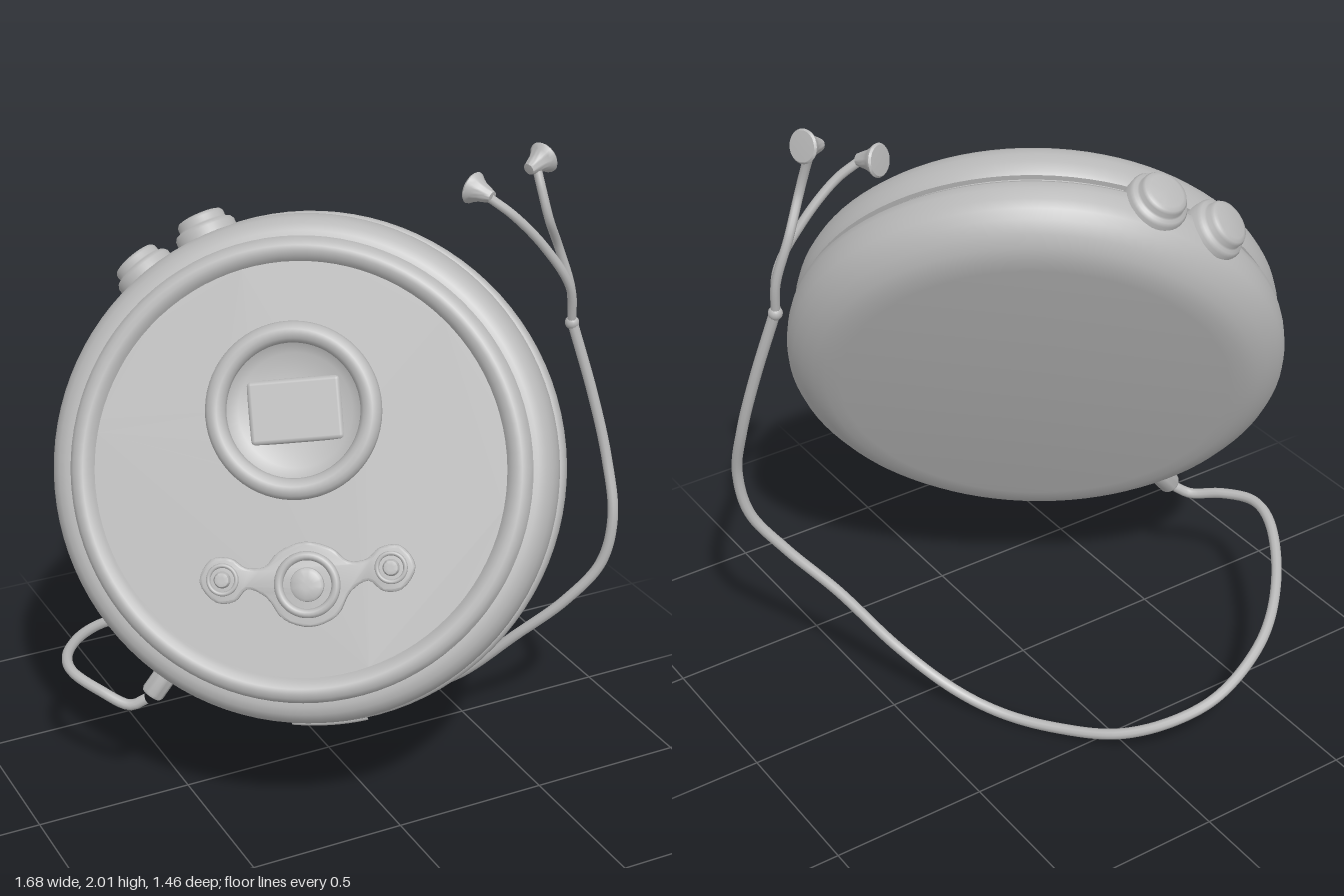
import * as THREE from 'three';
import { toCreasedNormals } from 'three/addons/utils/BufferGeometryUtils.js';
import { RoundedBoxGeometry } from 'three/addons/geometries/RoundedBoxGeometry.js';

const grey = new THREE.MeshStandardMaterial({ color: 0xb8b8b8 });

function add(parent, name, geometry, x = 0, y = 0, z = 0) {
  const mesh = new THREE.Mesh(geometry, grey);
  mesh.name = name;
  mesh.position.set(x, y, z);
  parent.add(mesh);
  return mesh;
}

// Turned shape around the local z axis, from [radius, height] pairs
function turned(profile, sides = 48) {
  const points = profile.map(([r, h]) => new THREE.Vector2(r, h));
  const g = new THREE.LatheGeometry(points, sides);
  g.rotateX(Math.PI / 2);
  return toCreasedNormals(g, 0.75);
}

function cable(points, radius, segments) {
  const curve = new THREE.CatmullRomCurve3(points.map((p) => new THREE.Vector3(...p)));
  return new THREE.TubeGeometry(curve, segments, radius, 10);
}

// Points the local z axis of a mesh along a direction
function aim(mesh, x, y, z) {
  mesh.quaternion.setFromUnitVectors(new THREE.Vector3(0, 0, 1), new THREE.Vector3(x, y, z).normalize());
}

function buildPlayer() {
  const player = new THREE.Group();
  player.name = 'player';

  // Round case: back shell, seam groove, lid shoulder and raised rim
  add(player, 'case', turned([
    [0, -0.38], [0.6, -0.38], [0.645, -0.376], [0.685, -0.362], [0.72, -0.338], [0.75, -0.308],
    [0.766, -0.28], [0.772, -0.25], [0.772, -0.21], [0.768, -0.185], [0.758, -0.173], [0.735, -0.17],
    [0.735, -0.15], [0.75, -0.146], [0.756, -0.13], [0.757, -0.1], [0.752, -0.068], [0.74, -0.04],
    [0.722, -0.02], [0.7, -0.01], [0.685, -0.008], [0.681, 0.006], [0.67, 0.02], [0.655, 0.028],
    [0.64, 0.028], [0.625, 0.02], [0.614, 0.007], [0.61, 0],
  ], 96));

  // Lid face with a round opening for the display
  const lid = new THREE.Shape().absarc(0, 0, 0.612, 0, Math.PI * 2);
  lid.holes.push(new THREE.Path().absarc(0, 0.175, 0.21, 0, Math.PI * 2, true));
  add(player, 'lidFace', new THREE.ShapeGeometry(lid, 48));

  // Display: raised ring, shallow bowl and cushion-shaped screen
  add(player, 'displayRing', new THREE.TorusGeometry(0.23, 0.032, 14, 64), 0, 0.175, 0.006);
  add(player, 'displayBowl', turned([[0.212, 0], [0.2, -0.015], [0.17, -0.03], [0.1, -0.04], [0, -0.042]]), 0, 0.175, 0);
  add(player, 'screen', new RoundedBoxGeometry(0.28, 0.19, 0.03, 4, 0.014), 0, 0.175, -0.04);

  // Control pad with a large centre and two smaller ends
  const half = [
    [0.08, -0.097], [0.125, -0.03], [0.18, -0.002], [0.22, -0.035], [0.275, -0.034], [0.32, 0.03],
    [0.28, 0.094], [0.22, 0.092], [0.18, 0.062], [0.125, 0.06], [0.08, 0.1],
  ];
  const outline = [[0, -0.125], ...half, [0, 0.125], ...half.map(([x, y]) => [-x, y]).reverse()];
  const padCurve = new THREE.CatmullRomCurve3(outline.map(([x, y]) => new THREE.Vector3(x, y, 0)), true);
  const padShape = new THREE.Shape(padCurve.getPoints(96).slice(0, -1).map((p) => new THREE.Vector2(p.x, p.y)));
  add(player, 'controlPad', toCreasedNormals(new THREE.ExtrudeGeometry(padShape, {
    depth: 0.008, bevelThickness: 0.008, bevelSize: 0.008, bevelOffset: -0.008, bevelSegments: 3,
  }), 0.6), 0, -0.335, 0);

  // Pad buttons, each a domed cap inside a ring
  for (const [x, y, r] of [[0, -0.335, 0.085], [-0.25, -0.303, 0.042], [0.25, -0.303, 0.042]]) {
    add(player, 'padButtonRing', new THREE.TorusGeometry(r, r * 0.16, 10, 40), x, y, 0.016);
    add(player, 'padButton', turned([
      [r * 0.6, 0], [r * 0.58, 0.01], [r * 0.48, 0.016], [r * 0.2, 0.018], [0, 0.018],
    ], 32), x, y, 0.014);
  }

  // Push buttons on the upper edge
  for (const angle of [2.187, 1.9]) {
    const c = Math.cos(angle), s = Math.sin(angle);
    const button = add(player, 'edgeButton', turned([
      [0.095, -0.05], [0.095, 0.025], [0.088, 0.036], [0.078, 0.039], [0.074, 0.044], [0.074, 0.06],
      [0.068, 0.069], [0.055, 0.073], [0, 0.074],
    ], 40), 0.755 * c, 0.755 * s, -0.19);
    aim(button, c, s, 0);
  }

  // Headphone plug on the lower edge
  const c = Math.cos(4.012), s = Math.sin(4.012);
  const plug = add(player, 'plug', turned([
    [0.036, -0.04], [0.036, 0.095], [0.031, 0.104], [0.02, 0.107], [0, 0.107],
  ], 24), 0.755 * c, 0.755 * s, -0.26);
  aim(plug, c, s, 0);

  // Slim latch on the bottom edge
  const latch = new THREE.TorusGeometry(0.768, 0.012, 8, 16, 0.3);
  latch.rotateZ(Math.PI * 1.5 - 0.15);
  add(player, 'latch', latch, 0, 0, -0.215);
  return player;
}

function buildHeadphones() {
  const phones = new THREE.Group();
  phones.name = 'headphones';

  // Long cord from the plug to the split
  add(phones, 'cord', cable([
    [-0.645, 0.385, 0.045], [-0.69, 0.357, 0.015], [-0.755, 0.38, -0.07], [-0.8, 0.397, -0.18],
    [-0.78, 0.39, -0.29], [-0.645, 0.335, -0.5], [-0.465, 0.265, -0.655], [-0.255, 0.18, -0.715],
    [-0.11, 0.12, -0.68], [0.03, 0.062, -0.58], [0.15, 0.024, -0.41], [0.25, 0.02, -0.25],
    [0.34, 0.065, -0.115], [0.45, 0.18, 0.045], [0.58, 0.37, 0.19], [0.7, 0.52, 0.29],
    [0.79, 0.66, 0.345], [0.82, 0.82, 0.352], [0.82, 1.0, 0.3], [0.79, 1.2, 0.25], [0.735, 1.44, 0.195],
  ], 0.017, 200));

  // Two thinner strands to the ear buds
  add(phones, 'strand', cable([
    [0.735, 1.43, 0.195], [0.71, 1.56, 0.215], [0.62, 1.7, 0.205], [0.52, 1.81, 0.185], [0.455, 1.865, 0.155],
  ], 0.014, 48));
  add(phones, 'strand', cable([
    [0.735, 1.43, 0.195], [0.735, 1.54, 0.18], [0.69, 1.68, 0.17], [0.63, 1.79, 0.205], [0.61, 1.88, 0.19],
    [0.605, 1.94, 0.165],
  ], 0.014, 48));
  add(phones, 'splitter', new THREE.SphereGeometry(0.022, 16, 12), 0.735, 1.435, 0.195);

  // Flared ear buds
  for (const [p, d] of [
    [[0.44, 1.878, 0.115], [-0.4, 0.2, -0.85]],
    [[0.618, 1.955, 0.155], [0.9, 0.3, -0.3]],
  ]) {
    const bud = add(phones, 'earBud', turned([
      [0, -0.05], [0.018, -0.048], [0.024, -0.03], [0.03, -0.01], [0.04, 0.008], [0.048, 0.018],
      [0.05, 0.024], [0.045, 0.03], [0, 0.032],
    ], 28), ...p);
    aim(bud, ...d);
  }
  return phones;
}

export function createModel() {
  const model = new THREE.Group();
  model.name = 'portablePlayer';

  // Tilt the disc so its face looks forward, up and to one side
  const n = new THREE.Vector3(-0.526, 0.402, 0.749).normalize();
  const v = new THREE.Vector3().crossVectors(n, new THREE.Vector3(0.848, 0.128, 0.513)).normalize();
  const u = new THREE.Vector3().crossVectors(v, n);
  const player = buildPlayer();
  player.quaternion.setFromRotationMatrix(new THREE.Matrix4().makeBasis(u, v, n));
  player.position.set(-0.23, 1.17, 0.265);

  model.add(player, buildHeadphones());
  return model;
}
